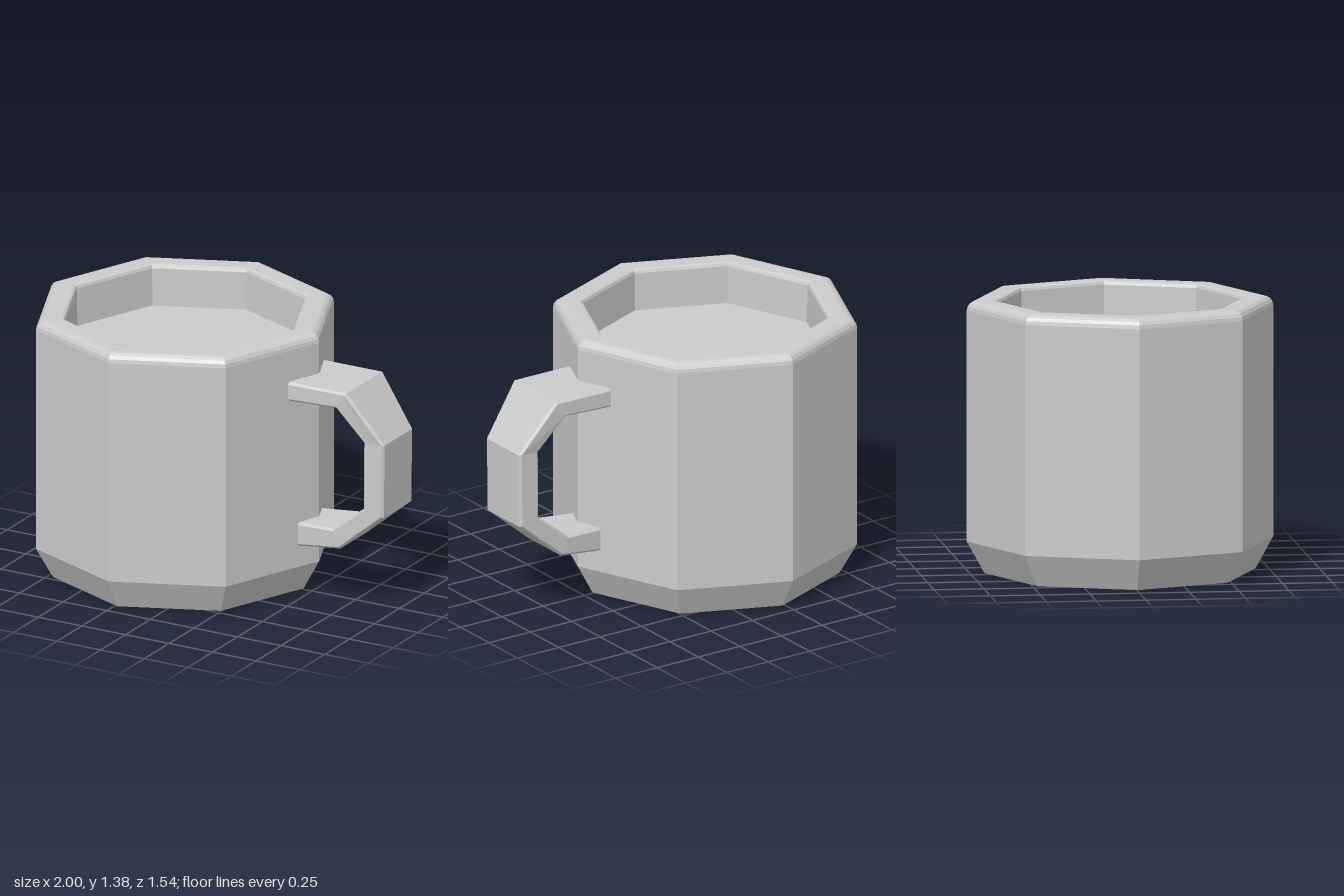
import * as THREE from 'three';

const material = new THREE.MeshStandardMaterial({ color: 0xcccccc, flatShading: true, roughness: 0.8 });

// Eight-sided cup: one closed profile from the base, over the rounded rim, to the recessed surface
function createCup() {
  const profile = [[0, 0], [0.665, 0], [0.68, 0.004], [0.686, 0.014], [0.77, 0.165]];
  const round = 0.05;
  for (let i = 0; i <= 4; i++) {
    const a = (i / 4) * Math.PI / 2;
    profile.push([0.72 + round * Math.cos(a), 1.327 + round * Math.sin(a)]);
  }
  profile.push([0.64, 1.377], [0.626, 1.371], [0.62, 1.357], [0.617, 1.16], [0, 1.16]);
  const points = profile.map(([r, y]) => new THREE.Vector2(r, y));
  const cup = new THREE.Mesh(new THREE.LatheGeometry(points, 8), material);
  cup.name = 'cup';
  cup.position.x = -0.23;
  return cup;
}

// Faceted handle: bevelled rectangular sections joined along the bend
function createHandle() {
  // outer x, outer y, inner x, inner y, half width
  const sections = [
    [0.47, 1.165, 0.47, 1.065, 0.19],
    [0.80, 1.165, 0.74, 1.077, 0.19],
    [0.995, 0.91, 0.878, 0.905, 0.15],
    [0.99, 0.525, 0.875, 0.552, 0.15],
    [0.74, 0.315, 0.70, 0.415, 0.15],
    [0.49, 0.277, 0.49, 0.402, 0.127],
  ];
  const bevel = 0.012;
  const positions = [];
  const index = [];
  const n = 8;
  for (const [ox, oy, ix, iy, w] of sections) {
    const t = bevel / Math.hypot(ox - ix, oy - iy);
    const ring = [
      [0, w - bevel], [0, bevel - w], [t, -w], [1 - t, -w],
      [1, bevel - w], [1, w - bevel], [1 - t, w], [t, w],
    ];
    for (const [s, z] of ring) positions.push(ox + (ix - ox) * s, oy + (iy - oy) * s, z);
  }
  for (let i = 0; i < sections.length - 1; i++) {
    for (let k = 0; k < n; k++) {
      const a = i * n + k, b = i * n + (k + 1) % n;
      index.push(a, a + n, b, b, a + n, b + n);
    }
  }
  // End caps
  const last = (sections.length - 1) * n;
  for (let k = 1; k < n - 1; k++) {
    index.push(0, k, k + 1, last, last + k + 1, last + k);
  }
  const geometry = new THREE.BufferGeometry();
  geometry.setAttribute('position', new THREE.Float32BufferAttribute(positions, 3));
  geometry.setIndex(index);
  const flat = geometry.toNonIndexed();
  flat.computeVertexNormals();
  const handle = new THREE.Mesh(flat, material);
  handle.name = 'handle';
  return handle;
}

export function createModel() {
  const mug = new THREE.Group();
  mug.name = 'mug';
  mug.add(createCup(), createHandle());
  return mug;
}
